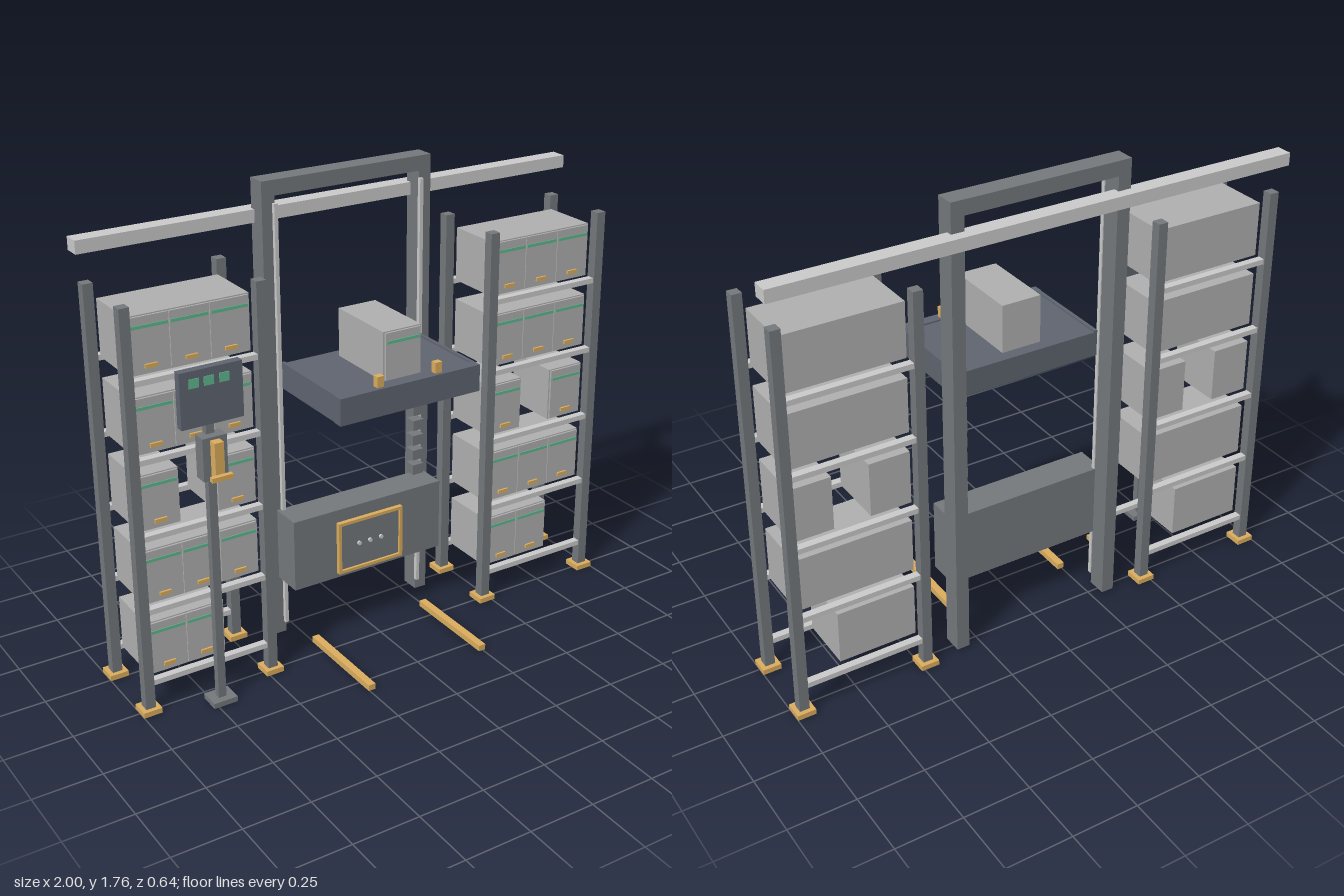
import * as THREE from 'three';

const mat = (color) => new THREE.MeshStandardMaterial({ color });
const steel = mat(0x75797d), dark = mat(0x5f6570), light = mat(0xcccccc), bin = mat(0xb0b0b0);
const orange = mat(0xdcae5e), green = mat(0x5fb98f);

// Box given by its low and high limits on each axis
function block(parent, name, material, [x0, x1], [y0, y1], [z0, z1]) {
  const mesh = new THREE.Mesh(new THREE.BoxGeometry(x1 - x0, y1 - y0, z1 - z0), material);
  mesh.position.set((x0 + x1) / 2, (y0 + y1) / 2, (z0 + z1) / 2);
  mesh.name = name;
  parent.add(mesh);
  return mesh;
}

const around = (c, size) => [c - size / 2, c + size / 2];

function group(parent, name) {
  const g = new THREE.Group();
  g.name = name;
  parent.add(g);
  return g;
}

// Storage bin with a front panel, green label and orange handle
function addBin(parent, x, y, front, back, height, handle = true) {
  const g = group(parent, 'storageBin');
  block(g, 'binBody', bin, around(x, 0.154), [y, y + height], [back, front - 0.008]);
  block(g, 'binFront', bin, around(x, 0.143), [y + 0.004, y + height - 0.004], [front - 0.008, front]);
  block(g, 'binLabel', green, around(x, 0.134), [y + height - 0.044, y + height - 0.033], [front, front + 0.003]);
  if (handle) block(g, 'binHandle', orange, around(x, 0.044), [y + 0.024, y + 0.038], [front, front + 0.008]);
}

// Shelf rack: four posts on feet, paired beams and rows of bins
function addRack(parent, cx) {
  const rack = group(parent, 'storageRack');
  for (const z of [0, -0.28]) {
    for (const s of [-1, 1]) {
      const x = cx + s * 0.244;
      block(rack, 'rackPost', steel, around(x, 0.037), [0.002, 1.5], around(z, 0.038));
      block(rack, 'rackFoot', orange, around(x, 0.07), [0, 0.02], around(z, 0.072));
    }
  }
  const rows = [[-1, 0], [-1, 0, 1], [-1, 1], [-1, 0, 1], [-1, 0, 1]];
  rows.forEach((slots, i) => {
    const y = 0.125 + i * 0.28;
    for (const z of [0, -0.28]) {
      block(rack, 'shelfBeam', light, around(cx, 0.452), [y - 0.02, y], around(z, 0.028));
    }
    for (const s of slots) addBin(rack, cx + s * 0.1455, y, -0.022, -0.25, 0.205);
  });
}

// Tall portal with guide rails and a top cross rail
function addPortal(parent) {
  const g = group(parent, 'liftPortal');
  for (const s of [-1, 1]) {
    block(g, 'portalPost', steel, around(s * 0.32, 0.05), [0, 1.705], [-0.28, -0.205]);
    block(g, 'guideRail', light, around(s * 0.298, 0.014), [0.045, 1.68], [-0.205, -0.19]);
  }
  block(g, 'portalTop', steel, [-0.345, 0.345], [1.705, 1.76], [-0.28, -0.205]);
  block(parent, 'overheadRail', light, [-1, 1], [1.605, 1.652], [-0.32, -0.258]);
}

// Lower cabinet with a framed panel and three buttons
function addCabinet(parent) {
  const g = group(parent, 'driveCabinet');
  block(g, 'cabinetBody', steel, [-0.32, 0.32], [0.24, 0.52], [-0.206, -0.083]);
  const shape = new THREE.Shape();
  shape.moveTo(-0.14, 0.26).lineTo(0.14, 0.26).lineTo(0.14, 0.47).lineTo(-0.14, 0.47).closePath();
  const hole = new THREE.Path();
  hole.moveTo(-0.128, 0.272).lineTo(-0.128, 0.458).lineTo(0.128, 0.458).lineTo(0.128, 0.272).closePath();
  shape.holes.push(hole);
  const frame = new THREE.Mesh(new THREE.ExtrudeGeometry(shape, { depth: 0.018, bevelEnabled: false }), orange);
  frame.position.z = -0.083;
  frame.name = 'panelFrame';
  g.add(frame);
  block(g, 'accessPanel', steel, [-0.128, 0.128], [0.272, 0.458], [-0.083, -0.075]);
  for (const x of [-0.048, 0, 0.048]) {
    const button = new THREE.Mesh(new THREE.CylinderGeometry(0.008, 0.008, 0.008, 16), light);
    button.rotation.x = Math.PI / 2;
    button.position.set(x, 0.365, -0.071);
    button.name = 'panelButton';
    g.add(button);
  }
}

// Lift platform carrying one bin, with stops and a cable chain below
function addPlatform(parent) {
  const g = group(parent, 'liftPlatform');
  block(g, 'platformDeck', dark, [-0.287, 0.287], [1.0, 1.094], [-0.2, 0.16]);
  block(g, 'platformFront', dark, [-0.29, 0.287], [1.0, 1.1], [0.16, 0.2]);
  for (const s of [-1, 1]) {
    block(g, 'platformEdge', dark, around(s * 0.281, 0.014), [1.09, 1.1], [-0.2, 0.16]);
    block(g, 'platformStop', orange, around(s * 0.12, 0.028), [1.1, 1.14], [0.162, 0.186]);
  }
  addBin(g, 0, 1.094, 0.143, -0.155, 0.181, false);
  const chain = group(parent, 'cableChain');
  for (let i = 0; i < 8; i++) {
    block(chain, 'chainLink', steel, [0.24, 0.287], around(0.56 + i * 0.0612, 0.04), [-0.19, -0.145]);
  }
}

// Operator stand with screen, holder and scanner
function addStand(parent) {
  const g = group(parent, 'operatorStand');
  const x = -0.722;
  block(g, 'standBase', steel, around(x, 0.092), [0, 0.02], [0.036, 0.116]);
  block(g, 'standPole', steel, around(x, 0.03), [0.02, 1.1], [0.063, 0.09]);
  block(g, 'screen', dark, around(x, 0.228), [1.085, 1.283], [0.085, 0.115]);
  block(g, 'screenBack', steel, around(x, 0.09), [1.13, 1.24], [0.04, 0.085]);
  for (const dx of [-0.063, -0.009, 0.047]) {
    block(g, 'screenLight', green, around(x + dx, 0.036), [1.224, 1.256], [0.115, 0.118]);
  }
  block(g, 'scannerHolder', steel, around(x, 0.09), [0.885, 1.04], [0.068, 0.12]);
  block(g, 'scannerBody', orange, around(x, 0.034), [0.915, 1.03], [0.12, 0.152]);
  block(g, 'scannerTray', orange, around(x, 0.078), [0.9, 0.917], [0.152, 0.17]);
  block(g, 'scannerStem', orange, around(x, 0.034), [0.9, 0.917], [0.12, 0.152]);
}

export function createModel() {
  const model = new THREE.Group();
  model.name = 'storageLift';
  for (const s of [-1, 1]) {
    addRack(model, s * 0.7215);
    block(model, 'floorRail', orange, around(s * 0.243, 0.028), [0.004, 0.027], [-0.075, 0.32]);
  }
  addPortal(model);
  addCabinet(model);
  addPlatform(model);
  addStand(model);
  return model;
}
